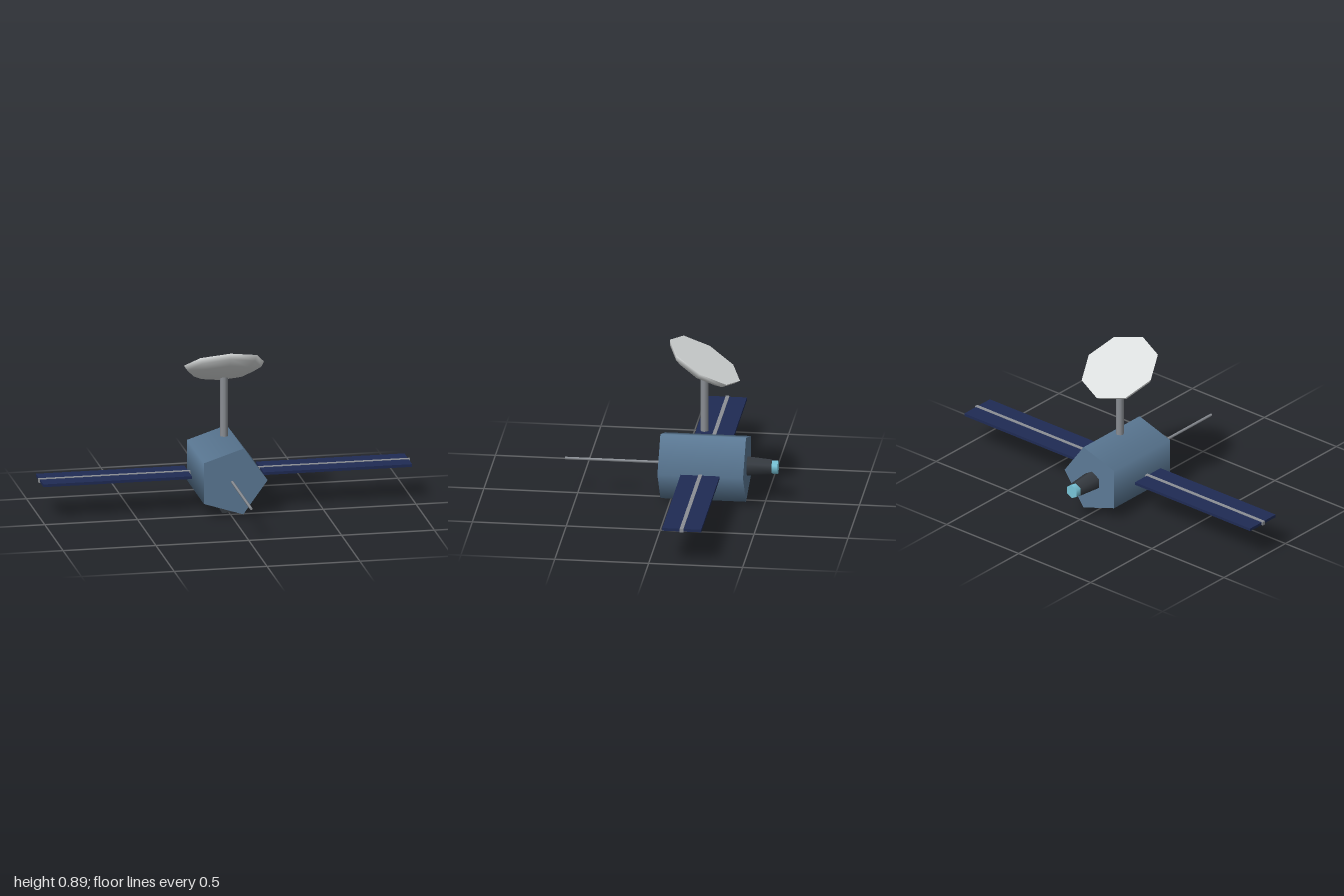
import * as THREE from 'three';

const mat = (name, color, side = THREE.FrontSide) =>
  Object.assign(new THREE.MeshStandardMaterial({ color, side }), { name });

export function createModel() {
  const hull = mat('hull blue', 0x5c7a96);
  const cell = mat('solar navy', 0x1f2b54);
  const metal = mat('metal grey', 0x8b8f95);
  const dark = mat('dark grey', 0x363b41);
  const white = mat('dish white', 0xdadddd);
  const cyan = mat('thruster cyan', 0x78c4d8);

  const model = new THREE.Group();
  model.name = 'satellite';
  const Y = 0.193, Z = -0.175;
  const add = (name, geometry, material, x, y, z, parent = model) => {
    const mesh = new THREE.Mesh(geometry, material);
    mesh.name = name;
    mesh.position.set(x, y, z);
    parent.add(mesh);
    return mesh;
  };
  // cylinder whose top end points to the back (-z)
  const backCylinder = (rBack, rFront, length, sides, start = 0) =>
    new THREE.CylinderGeometry(rBack, rFront, length, sides, 1, false, start).rotateX(-Math.PI / 2);

  // five-sided body with one corner toward +x
  add('body', backCylinder(0.19, 0.19, 0.456, 5, Math.PI / 2), hull, 0, Y, Z);

  // solar wings, each with a central spar
  for (const [side, s] of [['left', 1], ['right', -1]]) {
    const wing = new THREE.Group();
    wing.name = side + 'Wing';
    model.add(wing);
    add('solarPanel', new THREE.BoxGeometry(0.8, 0.015, 0.208), cell, s * 0.593, Y, Z, wing);
    add('wingSpar', new THREE.BoxGeometry(0.817, 0.02, 0.02), metal, s * 0.5915, Y, Z, wing);
  }

  // mast and tilted dish
  add('mast', new THREE.CylinderGeometry(0.021, 0.021, 0.327, 8), metal, 0, 0.5465, Z);
  const dish = new THREE.Group();
  dish.name = 'dish';
  dish.position.set(0, 0.78, -0.177);
  dish.rotation.x = -Math.PI / 6;
  model.add(dish);
  const R = 0.2155;
  const bowl = new THREE.SphereGeometry(R, 8, 4, 0, Math.PI * 2, Math.PI / 2, Math.PI / 2);
  add('dishBowl', bowl.scale(1, 0.34, 1), white, 0, 0, 0, dish);
  add('dishFace', new THREE.CircleGeometry(R, 8).rotateX(-Math.PI / 2), white, 0, 0, 0, dish);

  // thruster at the back
  add('thrusterCone', backCylinder(0.0425, 0.0545, 0.132, 6), dark, 0, Y, -0.469);
  add('thrusterTip', backCylinder(0.038, 0.038, 0.032, 6), cyan, 0, Y, -0.551);

  // front antenna and belly sensor
  add('antenna', backCylinder(0.0075, 0.0075, 0.514, 6), metal, 0, Y, 0.31);
  add('bellySensor', new THREE.BoxGeometry(0.074, 0.06, 0.129), dark, 0, 0.03, -0.1);

  return model;
}
